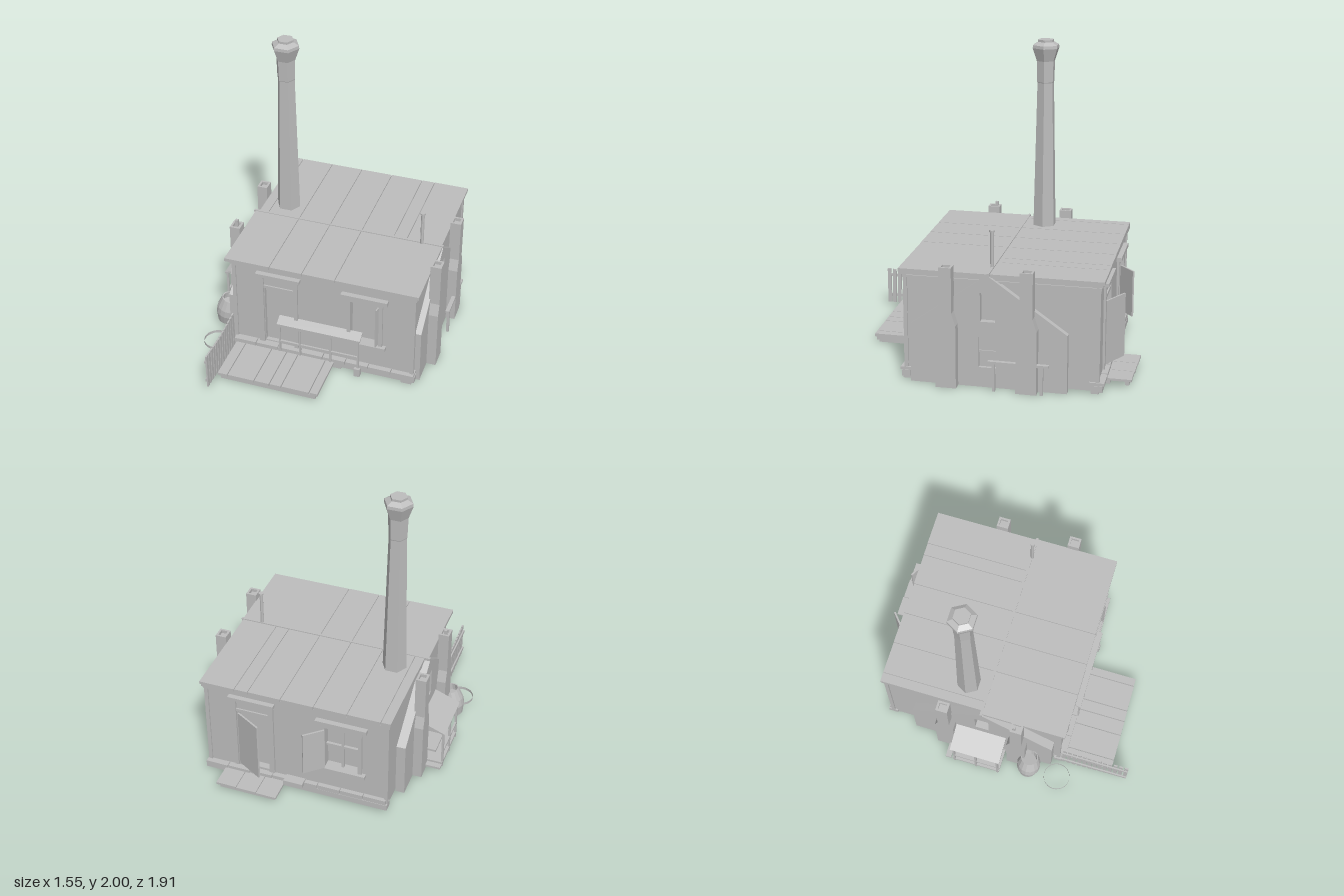
import * as THREE from 'three';

export function createModel() {
  const root = new THREE.Group();
  root.name = 'oldHouse';
  const grey = new THREE.MeshStandardMaterial({ color: 0xbcbcbc });
  grey.name = 'plain grey';
  grey.flatShading = true;
  grey.side = THREE.DoubleSide;

  const add = (name, geo) => {
    const m = new THREE.Mesh(geo, grey);
    m.name = name;
    root.add(m);
    return m;
  };
  // box from its limits on each axis
  const box = (name, x0, x1, y0, y1, z0, z1) => {
    const g = new THREE.BoxGeometry(x1 - x0, y1 - y0, z1 - z0);
    g.translate((x0 + x1) / 2, (y0 + y1) / 2, (z0 + z1) / 2);
    return add(name, g);
  };
  const poly = pts => new THREE.Shape(pts.map(p => new THREE.Vector2(p[0], p[1])));
  const rect = (x0, x1, y0, y1) => poly([[x0, y0], [x1, y0], [x1, y1], [x0, y1]]);
  // outline in (z, y) pushed along x, with optional rectangular holes
  const sideExtrude = (name, pts, x0, x1, holes = []) => {
    const s = poly(pts.map(p => [-p[0], p[1]]));
    holes.forEach(([z0, z1, y0, y1]) => s.holes.push(rect(-z1, -z0, y0, y1)));
    const g = new THREE.ExtrudeGeometry(s, { depth: x1 - x0, bevelEnabled: false });
    g.rotateY(Math.PI / 2);
    g.translate(x0, 0, 0);
    return add(name, g);
  };
  // thin upright panel between two plan points
  const panel = (name, xa, za, xb, zb, y0, y1, t = 0.012) => {
    const m = add(name, new THREE.BoxGeometry(Math.hypot(xb - xa, zb - za), y1 - y0, t));
    m.position.set((xa + xb) / 2, (y0 + y1) / 2, (za + zb) / 2);
    m.rotation.y = -Math.atan2(zb - za, xb - xa);
    return m;
  };
  // small repeatable variation
  const vary = i => Math.sin(i * 12.9 + 1.7);

  // body: core with pierced front and back walls
  box('core', -0.55, 0.67, 0.02, 0.72, -0.71, 0.42);
  const wall = (name, z, holes) => {
    const s = rect(-0.55, 0.67, 0.01, 0.72);
    holes.forEach(h => s.holes.push(rect(...h)));
    add(name, new THREE.ExtrudeGeometry(s, { depth: 0.045, bevelEnabled: false })).position.z = z;
  };
  wall('frontWall', 0.415, [[-0.34, -0.14, 0.1, 0.54], [0.25, 0.44, 0.26, 0.58]]);
  wall('backWall', -0.755, [[0.25, 0.46, 0.1, 0.54], [-0.36, -0.14, 0.26, 0.58]]);
  for (const x of [-0.56, 0.655]) for (const z of [-0.765, 0.445])
    box('cornerPost', x, x + 0.025, 0.05, 0.72, z, z + 0.025);

  // side gables, each with an attic and a lower window opening
  const gable = [[0.42, 0], [0.42, 0.38], [-0.07, 0.73], [-0.57, 0.38], [-0.57, 0]];
  const openings = [[-0.12, -0.025, 0.43, 0.615], [-0.125, -0.015, 0.13, 0.33]];
  for (const [x0, x1, pane] of [[0.67, 0.71, 0.68], [-0.61, -0.55, -0.58]]) {
    sideExtrude('gable', gable, x0, x1, openings);
    box('windowPane', pane, pane + 0.008, 0.13, 0.33, -0.125, -0.015);
    box('windowBar', pane - 0.006, pane + 0.016, 0.225, 0.237, -0.125, -0.015);
  }

  // side chimneys with hollow tops
  for (const z of [0.18, -0.325]) for (const [x0, x1] of [[0.7, 0.772], [-0.67, -0.6]]) {
    const half = [[0.065, 0], [0.065, 0.41], [0.04, 0.49], [0.04, 0.76]];
    const pts = half.map(([w, y]) => [z + w, y]).concat(half.slice().reverse().map(([w, y]) => [z - w, y]));
    sideExtrude('sideChimney', pts, x0, x1);
    const rim = rect(x0, x1, -z - 0.04, -z + 0.04);
    rim.holes.push(rect(x0 + 0.014, x1 - 0.014, -z - 0.026, -z + 0.026));
    const g = new THREE.ExtrudeGeometry(rim, { depth: 0.022, bevelEnabled: false });
    g.rotateX(-Math.PI / 2);
    add('sideChimneyRim', g).position.y = 0.76;
  }
  box('flue', -0.65, -0.63, 0.76, 0.81, 0.155, 0.175);

  // roof panels, front and back of the ridge
  const roofHalf = (name, seams, z0, z1) => {
    for (let i = 0; i < seams.length - 1; i++) {
      const e = 0.005 * vary(i);
      box(name, seams[i] + 0.002, seams[i + 1] - 0.002, 0.715, 0.737 + 0.002 * vary(i + 3),
        z0 < -0.1 ? z0 + e : z0, z0 < -0.1 ? z1 : z1 + e);
    }
  };
  roofHalf('roofPanelFront', [-0.6, -0.29, -0.07, 0.15, 0.705], -0.075, 0.492);
  roofHalf('roofPanelBack', [-0.575, -0.51, -0.29, -0.07, 0.15, 0.37, 0.46, 0.7], -0.785, -0.075);
  box('ridge', -0.61, 0.71, 0.724, 0.742, -0.083, -0.067);
  box('corniceLower', -0.56, 0.685, 0.675, 0.69, -0.77, 0.47);
  box('corniceUpper', -0.57, 0.69, 0.695, 0.716, -0.78, 0.482);

  // tall six-sided chimney
  const stack = new THREE.LatheGeometry(
    [[0, 0.72], [0.08, 0.72], [0.058, 1.715], [0.06, 1.72], [0.064, 1.86],
      [0.093, 1.945], [0.091, 1.965], [0.055, 1.985], [0.055, 2], [0, 2]]
      .map(p => new THREE.Vector2(p[0], p[1])), 6);
  stack.rotateY(Math.PI / 2);
  add('tallChimney', stack).position.set(-0.412, 0, -0.215);

  // stove pipe
  add('stovePipe', new THREE.CylinderGeometry(0.012, 0.012, 0.25, 8)).position.set(0.565, 0.85, -0.07);
  add('stovePipeCap', new THREE.CylinderGeometry(0.018, 0.018, 0.012, 8)).position.set(0.565, 0.97, -0.07);

  // windows and doors; s is the side they face
  const barsOn = (name, s) => {
    const f = s > 0 ? 0.46 : -0.755;
    return (n, a, b, c, d, out, back = 0.01) =>
      box(name + n, a, b, c, d, Math.min(f - s * back, f + s * out), Math.max(f - s * back, f + s * out));
  };
  for (const [s, x0, x1] of [[1, 0.25, 0.44], [-1, -0.36, -0.14]]) {
    const bar = barsOn('window', s);
    bar('JambA', x0 - 0.025, x0, 0.26, 0.58, 0.015);
    bar('JambB', x1, x1 + 0.025, 0.26, 0.58, 0.015);
    bar('Head', x0 - 0.03, x1 + 0.03, 0.58, 0.61, 0.018);
    bar('Lintel', x0 - 0.06, x1 + 0.06, 0.61, 0.637, 0.035);
    bar('Sill', x0 - 0.05, x1 + 0.05, 0.235, 0.26, 0.035);
  }
  const sash = barsOn('sash', -1);
  sash('Mullion', -0.257, -0.243, 0.26, 0.58, -0.012, 0.03);
  sash('Rail', -0.36, -0.14, 0.42, 0.435, -0.012, 0.03);
  panel('frontCasement', 0.44, 0.45, 0.428, 0.5, 0.27, 0.57, 0.01);
  for (const [s, x0, x1] of [[1, -0.34, -0.14], [-1, 0.25, 0.46]]) {
    const bar = barsOn('door', s);
    bar('JambA', x0 - 0.04, x0 - 0.004, 0.09, 0.64, 0.015);
    bar('JambB', x1 + 0.004, x1 + 0.03, 0.09, 0.64, 0.015);
    bar('Head', x0 - 0.004, x1 + 0.004, 0.54, 0.56, 0.01);
    bar('Lintel', x0 - 0.05, x1 + 0.05, 0.64, 0.663, 0.035);
  }
  box('frontDoor', -0.34, -0.14, 0.1, 0.54, 0.42, 0.432);
  panel('openBackDoor', 0.28, -0.86, 0.45, -0.765, 0.11, 0.53);
  panel('openShutter', -0.03, -0.875, -0.14, -0.78, 0.26, 0.57);

  // plank skirt around the base, uneven ends
  for (let i = 0; i < 8; i++) {
    const x = -0.55 + i * 0.155, v = 0.008 * vary(i);
    box('skirtPlankFront', x, x + 0.15, 0.06, 0.085 + v, 0.42, 0.5 + v);
    box('skirtPlankBack', x, x + 0.15, 0.06, 0.085 + v, -0.79 + v, -0.7);
  }
  box('baseFront', -0.57, 0.69, 0.02, 0.06, 0.43, 0.485);
  box('baseBack', -0.56, 0.69, 0.02, 0.06, -0.785, -0.72);
  for (const x of [-0.53, -0.12, 0.12, 0.6]) for (const z of [-0.76, 0.43])
    box('footing', x, x + 0.07, 0, 0.04, z, z + 0.05);

  // front deck
  const deckX = [-0.54, -0.47, -0.285, -0.18, -0.1, 0.09, 0.15];
  for (let i = 0; i < 6; i++)
    box('deckPlank', deckX[i] + 0.003, deckX[i + 1] - 0.003, 0.045, 0.065, 0.5, 0.832 + 0.006 * vary(i));
  for (const z of [0.53, 0.8]) box('deckBeam', -0.52, 0.13, 0.015, 0.045, z, z + 0.025);
  for (const x of [-0.52, -0.2, 0.1]) box('deckJoist', x, x + 0.025, 0, 0.045, 0.51, 0.81);

  // back deck and step
  const backX = [0.13, 0.27, 0.41, 0.55];
  for (let i = 0; i < 3; i++)
    box('backDeckPlank', backX[i] + 0.002, backX[i + 1] - 0.002, 0.045, 0.06, -0.955 + 0.004 * i, -0.76);
  for (const z of [-0.93, -0.81]) box('backDeckBeam', 0.15, 0.53, 0.015, 0.045, z, z + 0.025);
  box('backStep', 0, 0.13, 0.07, 0.1, -0.825, -0.76);

  // narrow sloped shelf with posts along the front
  sideExtrude('frontShelf', [[0.46, 0.322], [0.46, 0.333], [0.52, 0.302], [0.52, 0.29]], -0.24, 0.33);
  for (const x of [-0.23, -0.09, 0.12, 0.31]) box('shelfPost', x, x + 0.012, 0.07, 0.3, 0.503, 0.515);
  box('shelfRail', -0.23, 0.32, 0.15, 0.162, 0.503, 0.515);
  box('shelfTopRail', -0.23, 0.32, 0.275, 0.29, 0.503, 0.515);
  box('shelfStump', 0.29, 0.33, 0, 0.06, 0.485, 0.52);

  // hitching rail on the left wall
  box('hitchingRail', 0.745, 0.772, 0.182, 0.198, -0.465, -0.085);
  for (const z of [-0.13, -0.43]) box('hitchingPost', 0.75, 0.768, 0, 0.185, z, z + 0.018);

  // lean-to on the right wall, with boarded roof ends
  const lean = add('leanToRoof', new THREE.BoxGeometry(0.19, 0.012, 0.35));
  lean.position.set(-0.69, 0.318, -0.08);
  lean.rotation.z = 0.38;
  for (const z of [-0.245, 0.08])
    add('leanToEnd', new THREE.ShapeGeometry(poly([[-0.77, 0.283], [-0.6, 0.283], [-0.6, 0.35]]))).position.z = z;
  for (const z of [-0.24, -0.085, 0.07]) box('leanToPost', -0.772, -0.758, 0, 0.285, z, z + 0.014);
  for (const y of [0.03, 0.12]) box('leanToRail', -0.772, -0.76, y, y + 0.014, -0.24, 0.084);
  box('leanToFloor', -0.77, -0.6, 0.02, 0.04, -0.25, 0.09);
  box('leanToBench', -0.72, -0.6, 0.11, 0.125, -0.24, 0.08);
  box('leanToPlank', -0.77, -0.6, 0.02, 0.035, -0.3, -0.26);

  // tilted barrel
  const barrel = add('barrel', new THREE.LatheGeometry(
    [[0, -0.1], [0.06, -0.1], [0.08, -0.03], [0.08, 0.02], [0.06, 0.095], [0.052, 0.095], [0.05, 0.05], [0, 0.05]]
      .map(p => new THREE.Vector2(p[0], p[1])), 16));
  barrel.position.set(-0.68, 0.145, 0.28);
  barrel.rotation.z = -0.2;

  // loose hoop on the ground
  const ring = add('looseHoop', new THREE.CylinderGeometry(0.09, 0.09, 0.02, 28, 1, true));
  ring.position.set(-0.685, 0.02, 0.485);

  // picket fence
  for (let i = 0; i < 13; i++) {
    const p = add('fencePicket', new THREE.BoxGeometry(0.01, 0.26 + 0.015 * vary(i), 0.026));
    p.position.set(-0.56, 0.152 + 0.008 * vary(i + 5), 0.5 + i * 0.0365);
    p.rotation.x = 0.05 * vary(i + 2);
  }
  for (const y of [0.075, 0.225]) box('fenceRail', -0.575, -0.565, y, y + 0.02, 0.48, 0.95);

  return root;
}
